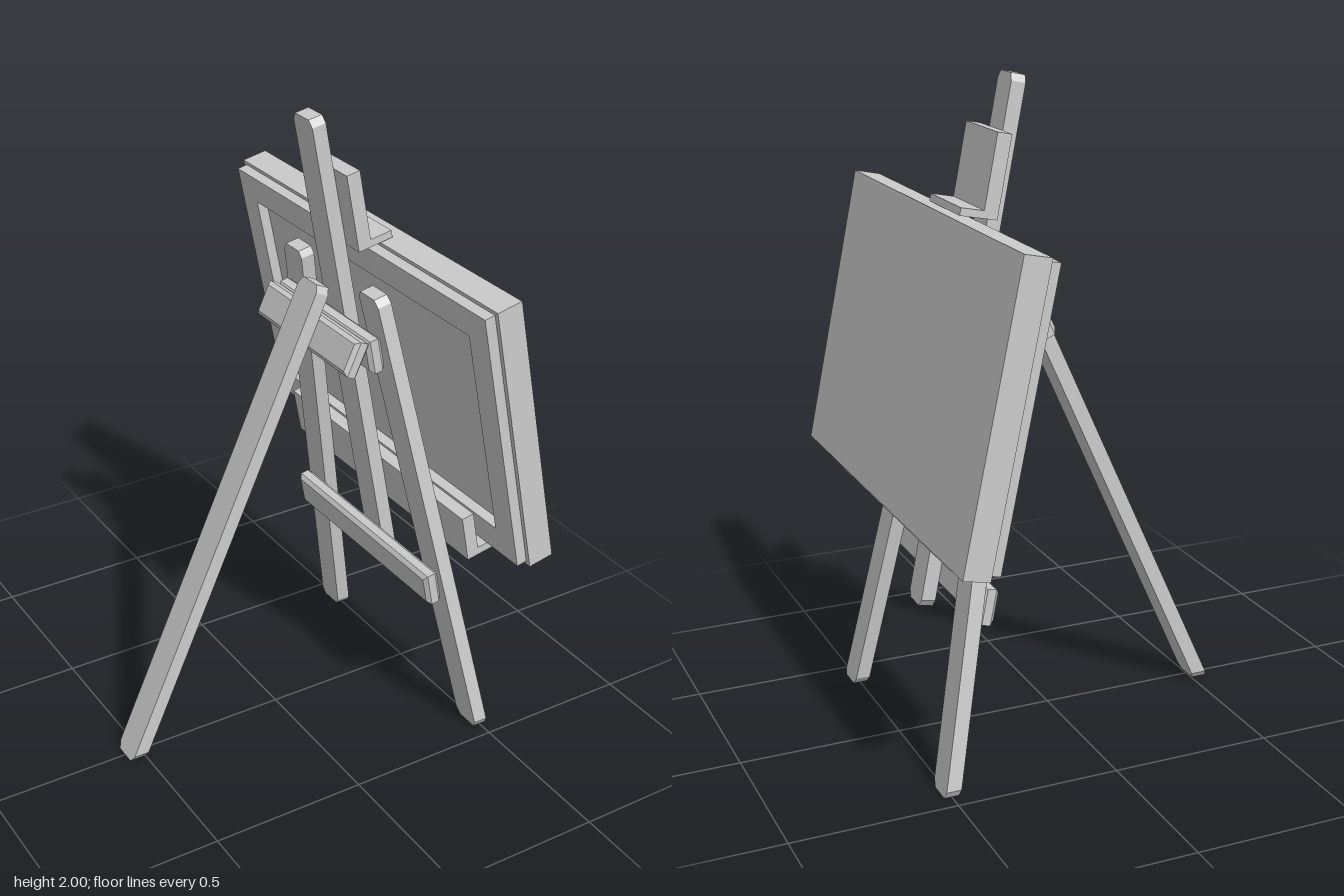
import * as THREE from 'three';

const material = new THREE.MeshStandardMaterial({ color: 0xcccccc, flatShading: true, side: THREE.DoubleSide });
const LEAN = 0.195;       // backward tilt of the front frame
const REAR_LEAN = -0.425; // forward tilt of the rear leg
const BOARD_LEAN = 0.206; // tilt of the canvas
const HALF = 0.0225;      // half thickness of the timbers

function add(parent, name, geometry) {
  const mesh = new THREE.Mesh(geometry, material);
  mesh.name = name;
  parent.add(mesh);
  return mesh;
}

// Box given by its limits in x, y and a half width in z
function slab(parent, name, x0, x1, y0, y1, halfZ) {
  const g = new THREE.BoxGeometry(x1 - x0, y1 - y0, halfZ * 2);
  g.translate((x0 + x1) / 2, (y0 + y1) / 2, 0);
  return add(parent, name, g);
}

// Timber with cut corners running from z0 at the bottom to z1 at the top;
// footLean slants the lower end so that it rests flat on the ground
function timber(parent, name, y0, y1, z0, z1, footLean = 0) {
  const w = 0.05, c = 0.014, d = 0.022;
  const slope = (z1 - z0) / (y1 - y0);
  const at = (side, y) => new THREE.Vector2(z0 + slope * (y - y0) + side, y);
  const shape = new THREE.Shape([
    at(-w + c, y0), at(w - c, y0), at(w, y0 + d), at(w, y1 - d),
    at(w - c, y1), at(-w + c, y1), at(-w, y1 - d), at(-w, y0 + d),
  ]);
  const g = new THREE.ExtrudeGeometry(shape, { depth: HALF * 2, bevelEnabled: false });
  g.translate(0, 0, -HALF).rotateY(Math.PI / 2);
  const p = g.attributes.position;
  for (let i = 0; i < p.count; i++) {
    if (p.getY(i) < (y0 + y1) / 2) p.setY(i, p.getY(i) - p.getX(i) * Math.tan(footLean));
  }
  g.computeVertexNormals();
  return add(parent, name, g);
}

// Cross bar with chamfered edges all round
function bar(parent, name, x0, x1, y0, y1, halfZ) {
  const b = 0.012, h = halfZ - b;
  const shape = new THREE.Shape([
    new THREE.Vector2(-h, y0 + b), new THREE.Vector2(h, y0 + b),
    new THREE.Vector2(h, y1 - b), new THREE.Vector2(-h, y1 - b),
  ]);
  const g = new THREE.ExtrudeGeometry(shape, {
    depth: x1 - x0 - 2 * b, bevelEnabled: true, bevelSize: b, bevelThickness: b, bevelSegments: 1,
  });
  g.translate(0, 0, x0 + b).rotateY(Math.PI / 2);
  return add(parent, name, g);
}

function leaningGroup(parent, name, x, y, angle) {
  const group = new THREE.Group();
  group.name = name;
  group.position.set(x, y, 0);
  group.rotation.z = angle;
  parent.add(group);
  return group;
}

export function createModel() {
  const easel = new THREE.Group();
  easel.name = 'easel';

  // Front frame: mast, two splayed legs and cross bars behind them
  const frame = leaningGroup(easel, 'frontFrame', 0.5, 0, LEAN);
  timber(frame, 'mast', 0.425, 2.03, 0, 0);
  timber(frame, 'leftFrontLeg', 0, 1.53, -0.41, -0.205, LEAN);
  timber(frame, 'rightFrontLeg', 0, 1.53, 0.41, 0.205, LEAN);
  bar(frame, 'lowerCrossBar', -0.073, -HALF, 0.495, 0.605, 0.37);
  bar(frame, 'upperCrossBar', -0.073, -HALF, 1.3, 1.41, 0.25);

  // Canvas supports: long tray below, small clamp above
  slab(frame, 'trayBack', HALF, 0.063, 0.719, 0.848, 0.48);
  slab(frame, 'trayLedge', HALF, 0.139, 0.694, 0.719, 0.48);
  slab(frame, 'clampBack', HALF, 0.067, 1.643, 1.866, 0.12);
  slab(frame, 'clampLedge', HALF, 0.139, 1.62, 1.643, 0.12);

  // Rear leg with its hinge block
  const rear = leaningGroup(easel, 'rearSupport', -0.528, 0, REAR_LEAN);
  timber(rear, 'rearLeg', 0, 1.615, 0, 0, REAR_LEAN);
  bar(rear, 'hingeBlock', HALF, 0.073, 1.42, 1.53, 0.253);

  // Canvas with an open stretcher frame on its back
  const canvas = leaningGroup(easel, 'canvas', 0.415, 1.183, BOARD_LEAN);
  slab(canvas, 'canvasPanel', -0.041, 0.041, -0.44, 0.44, 0.675);
  const outline = (w, h) => [[-w, -h], [w, -h], [w, h], [-w, h]].map(([a, b]) => new THREE.Vector2(a, b));
  const ring = new THREE.Shape(outline(0.66, 0.428));
  ring.holes.push(new THREE.Path(outline(0.57, 0.338).reverse()));
  const g = new THREE.ExtrudeGeometry(ring, { depth: 0.033, bevelEnabled: false });
  g.translate(0, 0, -0.074).rotateY(Math.PI / 2);
  add(canvas, 'stretcherFrame', g);

  return easel;
}
